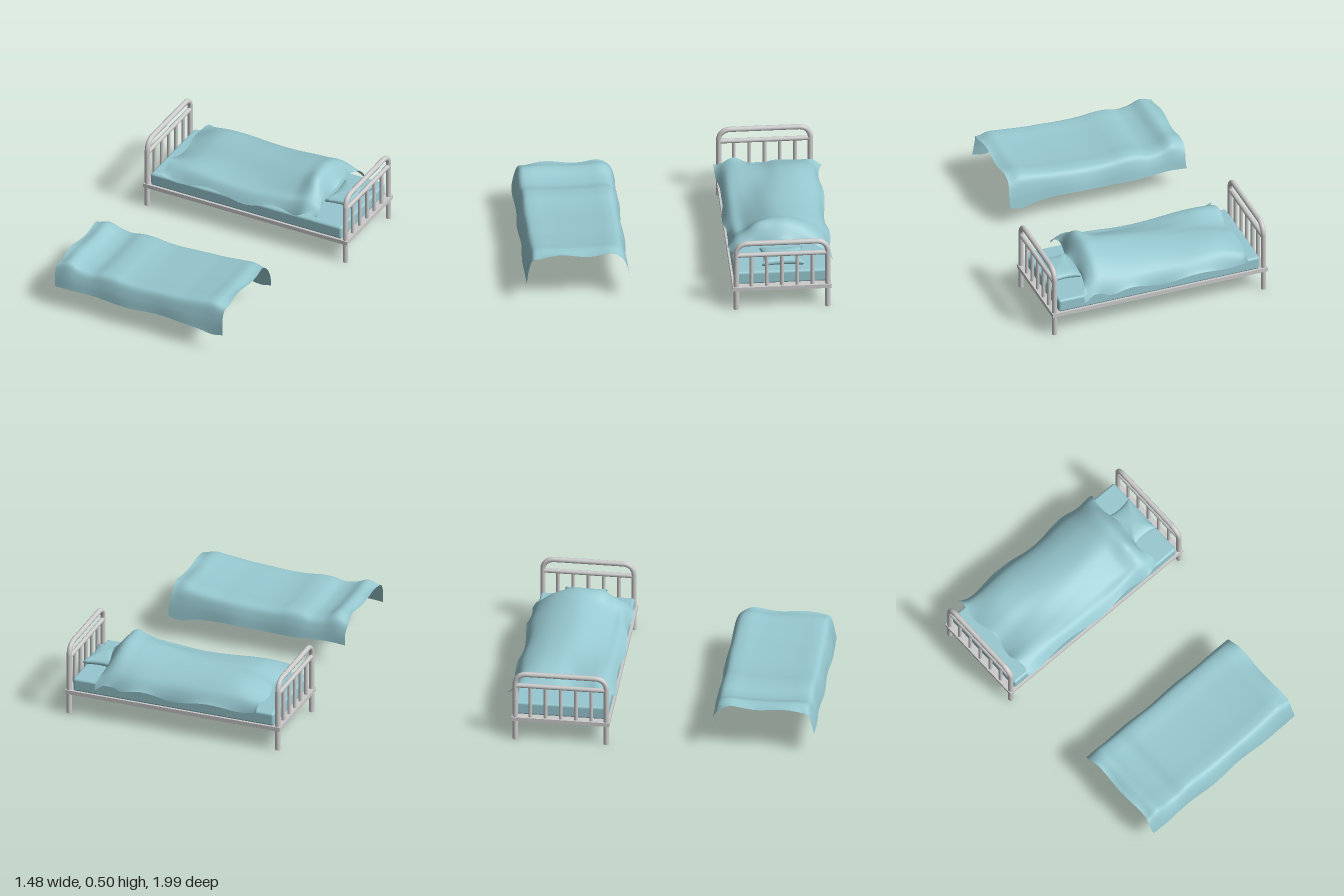
import * as THREE from 'three';
import { RoundedBoxGeometry } from 'three/addons/geometries/RoundedBoxGeometry.js';

const BED_Z = -0.635;
const grey = new THREE.MeshStandardMaterial({ color: 0xcccccc });
const fabric = new THREE.MeshStandardMaterial({ color: 0x97c8d0 });
const cloth = new THREE.MeshStandardMaterial({ color: 0x97c8d0, side: THREE.DoubleSide });

function add(parent, name, geometry, material, x = 0, y = 0, z = 0) {
  const mesh = new THREE.Mesh(geometry, material);
  mesh.name = name;
  mesh.position.set(x, y, z);
  parent.add(mesh);
  return mesh;
}

// Smooth lookup in an evenly spaced list, t from 0 to 1
function sample(list, t) {
  const f = Math.min(Math.max(t, 0), 1) * (list.length - 1);
  const i = Math.min(Math.floor(f), list.length - 2), k = f - i;
  const at = (j) => list[Math.min(Math.max(j, 0), list.length - 1)];
  const [a, b, c, d] = [at(i - 1), at(i), at(i + 1), at(i + 2)];
  return b + 0.5 * k * (c - a + k * (2 * a - 5 * b + 4 * c - d + k * (3 * (b - c) + d - a)));
}

// Sheet whose points are placed by rule(u, v): u runs along +x, v along +z
function sheet(nu, nv, rule) {
  const geo = new THREE.PlaneGeometry(1, 1, nu, nv).rotateX(-Math.PI / 2);
  const p = geo.attributes.position;
  for (let i = 0; i < p.count; i++) p.setXYZ(i, ...rule(p.getX(i) + 0.5, p.getZ(i) + 0.5));
  geo.computeVertexNormals();
  return geo;
}

// One bent-tube end with its legs, cross rail and upright bars
function bedEnd(x, name) {
  const end = new THREE.Group();
  end.name = name;
  const V = (y, z) => new THREE.Vector3(0, y, z);
  const h = 0.293, top = 0.48, r = 0.065;
  const path = new THREE.CurvePath();
  path.add(new THREE.LineCurve3(V(0, h), V(top - r, h)));
  path.add(new THREE.QuadraticBezierCurve3(V(top - r, h), V(top - 0.008, h - 0.008), V(top, h - r)));
  path.add(new THREE.LineCurve3(V(top, h - r), V(top, r - h)));
  path.add(new THREE.QuadraticBezierCurve3(V(top, r - h), V(top - 0.008, 0.008 - h), V(top - r, -h)));
  path.add(new THREE.LineCurve3(V(top - r, -h), V(0, -h)));
  add(end, 'endHoop', new THREE.TubeGeometry(path, 120, 0.017, 14), grey);
  for (const s of [-1, 1]) {
    add(end, 'foot', new THREE.CircleGeometry(0.017, 14).rotateX(Math.PI / 2), grey, 0, 0, s * h);
  }
  add(end, 'crossRail', new THREE.CylinderGeometry(0.015, 0.015, 2 * h, 12).rotateX(Math.PI / 2), grey, 0, 0.395, 0);
  for (let i = -2; i <= 2; i++) {
    add(end, 'uprightBar', new THREE.CylinderGeometry(0.012, 0.012, 0.24, 10), grey, 0, 0.275, i * 0.098);
  }
  end.position.set(x, 0, BED_Z);
  return end;
}

// Cushion that thins toward its seams, with drawn-in sides and pointed corners
function pillowGeometry() {
  const geo = new THREE.SphereGeometry(1, 40, 24);
  const p = geo.attributes.position;
  for (let i = 0; i < p.count; i++) {
    let x = p.getX(i), z = p.getZ(i);
    const y = p.getY(i), round = Math.hypot(x, z), m = Math.max(Math.abs(x), Math.abs(z));
    const k = m > 1e-6 ? round / m : 1;
    x *= k;
    z *= k;
    p.setXYZ(i, x * (0.082 + 0.018 * z * z), Math.sign(y) * 0.034 * Math.abs(y) ** 0.85, z * (0.118 + 0.018 * x * x));
  }
  geo.computeVertexNormals();
  return geo;
}

// Rumpled blanket heights: each row runs back to front, rows go foot to head
const RUMPLE_X = [-0.595, -0.42, -0.15, 0.1, 0.3, 0.42, 0.505];
const RUMPLE_Z = [-0.97, -0.92, -0.82, -0.7, -0.6, -0.5, -0.42, -0.36, -0.315];
const RUMPLE_Y = [
  [0.25, 0.30, 0.31, 0.31, 0.30, 0.31, 0.33, 0.32, 0.28],
  [0.25, 0.33, 0.37, 0.37, 0.35, 0.35, 0.35, 0.33, 0.27],
  [0.24, 0.32, 0.37, 0.39, 0.38, 0.35, 0.33, 0.31, 0.25],
  [0.24, 0.32, 0.38, 0.41, 0.41, 0.37, 0.33, 0.31, 0.26],
  [0.25, 0.33, 0.40, 0.44, 0.44, 0.40, 0.35, 0.33, 0.27],
  [0.25, 0.33, 0.41, 0.455, 0.46, 0.45, 0.39, 0.35, 0.28],
  [0.23, 0.29, 0.34, 0.36, 0.36, 0.35, 0.34, 0.33, 0.29],
];
function rumpled(u, v) {
  const side = (2 * v - 1) ** 6, tip = (2 * u - 1) ** 8;
  const x = sample(RUMPLE_X, u) + tip * (0.013 * Math.sin(v * 15 + 1) - 0.01 * (u < 0.5 ? side : -side));
  const flare = tip * side * (v < 0.5 ? (u < 0.5 ? -0.025 : 0.005) : (u < 0.5 ? 0.02 : -0.01));
  const z = sample(RUMPLE_Z, v) + side * 0.01 * Math.sin(u * 17) + flare;
  const y = sample(RUMPLE_Y.map((row) => sample(row, v)), u);
  return [x, y + side * 0.015 * Math.sin(u * 21 + 2) + tip * 0.01 * Math.sin(v * 19), z];
}

// Spare blanket: a long arch with hanging sides and a ridge near each end
const DRAPE_Z = [0.325, 0.34, 0.37, 0.43, 0.53, 0.66, 0.79, 0.89, 0.945, 0.975, 0.99];
const DRAPE_DROP = [1, 0.55, 0.15, 0, 0, 0, 0, 0, 0.12, 0.55, 1];
const DRAPE_TOP = [0.31, 0.342, 0.312, 0.302, 0.32, 0.322, 0.312, 0.308, 0.31, 0.315, 0.32, 0.325, 0.335, 0.345, 0.352, 0.325];
function draped(u, v) {
  const drop = sample(DRAPE_DROP, v), tip = (2 * u - 1) ** 10;
  const sag = 0.025 * Math.sin(Math.PI * v) ** 2 * (1 - tip);
  const top = sample(DRAPE_TOP, u) - sag + tip * 0.008 * Math.sin(v * 24);
  const hem = 0.15 + 0.006 * Math.sin(u * 12) - 0.02 * Math.exp(-(((u - 0.94) / 0.06) ** 2));
  const x = -0.682 + 1.21 * u + tip * 0.005 * Math.sin(v * 20);
  const z = sample(DRAPE_Z, v) + 0.005 * drop * Math.sin(u * 18);
  return [x, top + (hem - top) * drop, z];
}

export function createModel() {
  const model = new THREE.Group();
  const bed = new THREE.Group();
  bed.name = 'bed';
  model.add(bed);

  // Metal frame
  add(bed, 'bedBase', new THREE.BoxGeometry(1.476, 0.027, 0.63), grey, 0, 0.153, BED_Z);
  bed.add(bedEnd(0.717, 'headEnd'), bedEnd(-0.717, 'footEnd'));

  // Bedding
  add(bed, 'mattress', new RoundedBoxGeometry(1.38, 0.09, 0.605, 3, 0.016), fabric, 0, 0.206, BED_Z);
  add(bed, 'pillow', pillowGeometry(), fabric, 0.58, 0.297, -0.645);
  add(bed, 'rumpledBlanket', sheet(72, 48, rumpled), cloth);

  // Separate blanket laid out in front
  add(model, 'spareBlanket', sheet(72, 60, draped), cloth);
  return model;
}
